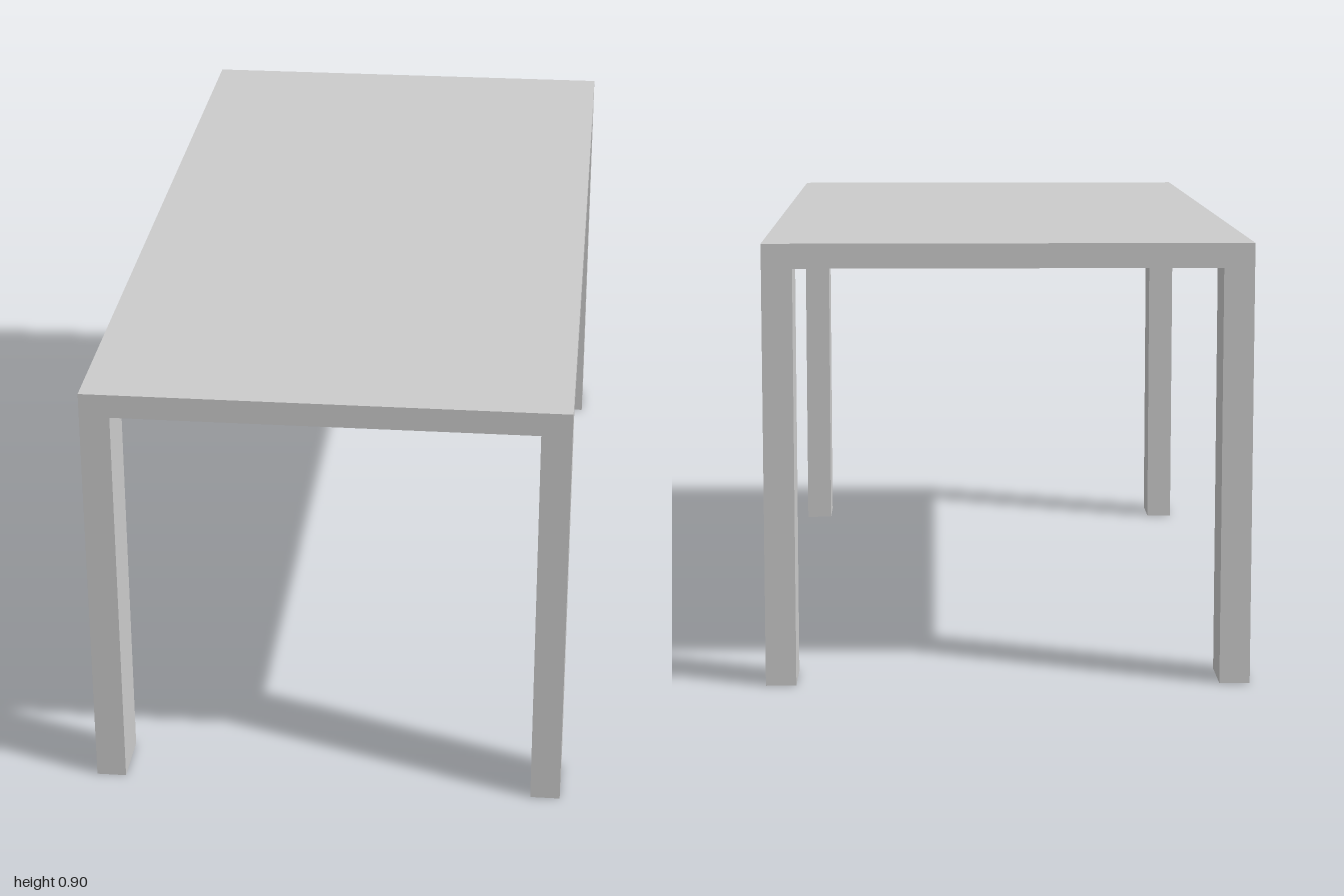
import * as THREE from 'three';

const WIDTH = 0.988, DEPTH = 2, HEIGHT = 0.902, TOP = 0.05;
const LEG_W = 0.062, LEG_D = 0.125;

export function createModel() {
  const table = new THREE.Group();
  table.name = 'table';
  const material = new THREE.MeshStandardMaterial({ color: 0xcccccc });

  const addBox = (name, w, h, d, x, y, z) => {
    const mesh = new THREE.Mesh(new THREE.BoxGeometry(w, h, d), material);
    mesh.name = name;
    mesh.position.set(x, y, z);
    table.add(mesh);
  };

  // flat slab top
  addBox('tableTop', WIDTH, TOP, DEPTH, 0, HEIGHT - TOP / 2, 0);

  // four legs flush with the corners of the top
  const legH = HEIGHT - TOP;
  for (const [side, sx] of [['Left', 1], ['Right', -1]]) {
    for (const [end, sz] of [['front', 1], ['back', -1]]) {
      addBox(`${end}${side}Leg`, LEG_W, legH, LEG_D,
        sx * (WIDTH - LEG_W) / 2, legH / 2, sz * (DEPTH - LEG_D) / 2);
    }
  }
  return table;
}
